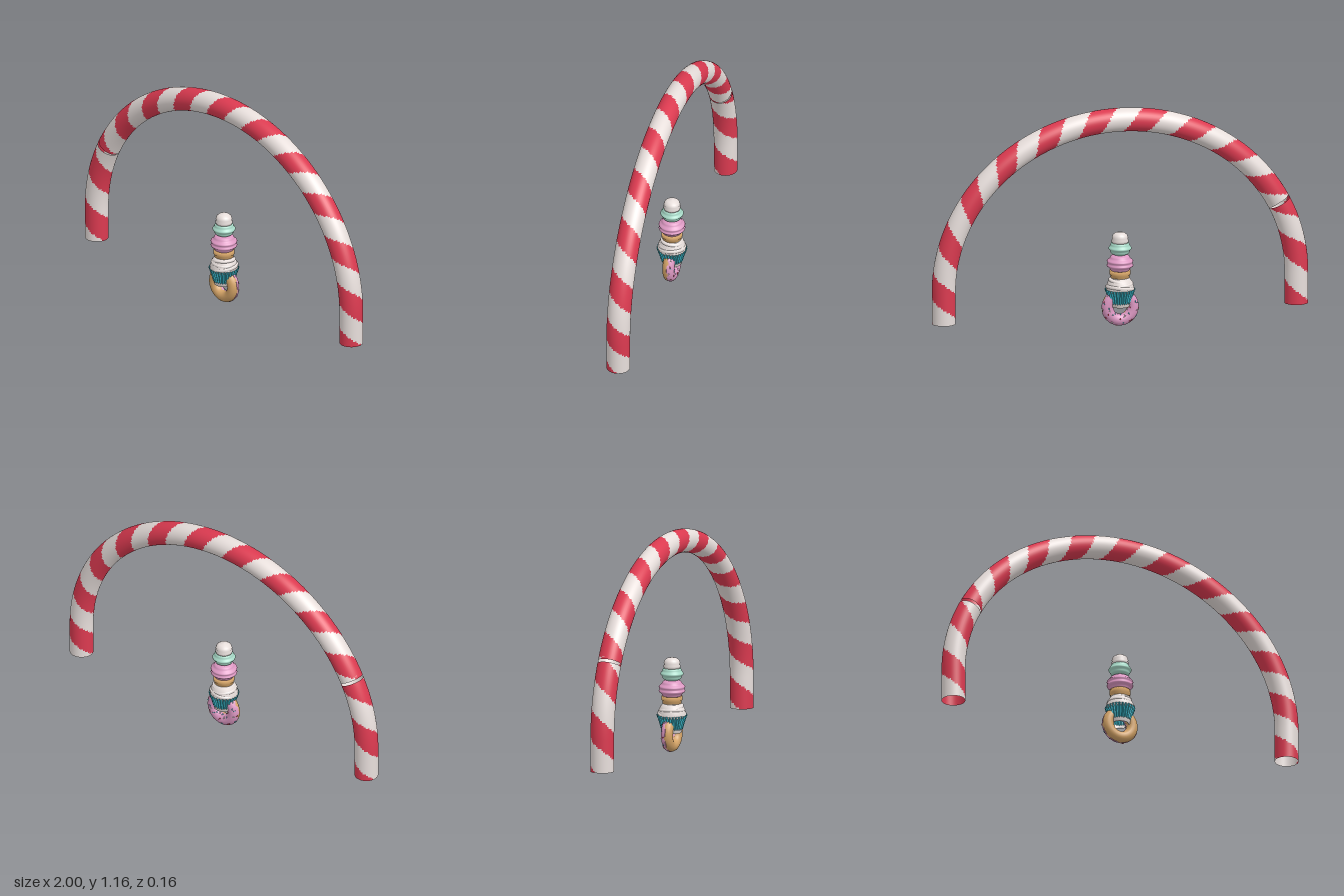
import * as THREE from 'three';

const mat = (name, color, side = THREE.FrontSide) => {
  const m = new THREE.MeshStandardMaterial({ color, side });
  m.name = name;
  return m;
};

// Arch centreline: short straight legs joined by a half ellipse, running from +x to -x
class ArchCurve extends THREE.Curve {
  getPoint(t, target = new THREE.Vector3()) {
    const foot = 0.07, spring = 0.24, a = 0.938, b = 0.86, leg = 0.054;
    if (t < leg) return target.set(a, foot + (spring - foot) * t / leg, 0);
    if (t > 1 - leg) return target.set(-a, foot + (spring - foot) * (1 - t) / leg, 0);
    const ang = Math.PI * (t - leg) / (1 - 2 * leg);
    return target.set(a * Math.cos(ang), spring + b * Math.sin(ang), 0);
  }
}

// Striped tube over part of the arch; notch pulls its outer end edge back
function candyTube(curve, s0, s1, pitch, phase, notch, materials) {
  const R = 0.0615, around = 40, total = curve.getLength();
  const along = Math.round((s1 - s0) / 0.01);
  const pos = [], nor = [], buckets = [[], []];
  for (let i = 0; i <= along; i++) {
    for (let j = 0; j <= around; j++) {
      const phi = (j / around) * Math.PI * 2, c = Math.cos(phi), n = Math.sin(phi);
      let s = s0 + (s1 - s0) * i / along;
      if (i === along) s -= notch * (1 + n) / 2;
      const u = Math.min(1, Math.max(0, s / total));
      const p = curve.getPointAt(u), t = curve.getTangentAt(u);
      const d = [n * t.y, -n * t.x, c];
      pos.push(p.x + R * d[0], p.y + R * d[1], R * d[2]);
      nor.push(...d);
      if (i < along && j < around) {
        const k = (s + 0.005 - phase) / pitch + (j + 0.5) / around + 0.25;
        const q = i * (around + 1) + j, r = q + around + 1;
        buckets[k - Math.floor(k) < 0.5 ? 0 : 1].push(q, q + 1, r + 1, q, r + 1, r);
      }
    }
  }
  const g = new THREE.BufferGeometry();
  g.setAttribute('position', new THREE.Float32BufferAttribute(pos, 3));
  g.setAttribute('normal', new THREE.Float32BufferAttribute(nor, 3));
  g.setIndex(buckets.flat());
  g.addGroup(0, buckets[0].length, 0);
  g.addGroup(buckets[0].length, buckets[1].length, 1);
  return new THREE.Mesh(g, materials);
}

const lathe = (pts, seg = 32) =>
  new THREE.LatheGeometry(pts.map(([r, y]) => new THREE.Vector2(r, y)), seg);

// Ridged ice-cream scoop: a rounded body with ripples running round it
function scoop(radius, y0, y1, ripples, depth) {
  const pts = [];
  for (let i = 0; i <= 28; i++) {
    const t = i / 28;
    const body = Math.pow(Math.sin(Math.PI * t), 0.45);
    const r = radius * body * (1 - depth * (0.5 + 0.5 * Math.cos(t * ripples * 2 * Math.PI)));
    pts.push([Math.max(r, 0), y0 + (y1 - y0) * t]);
  }
  return lathe(pts, 36);
}

export function createModel() {
  const model = new THREE.Group();
  const red = mat('candyRed', 0xdb3a50, THREE.DoubleSide);
  const white = mat('creamWhite', 0xe8dfdc, THREE.DoubleSide);
  const tan = mat('biscuitTan', 0xd2a266);
  const pink = mat('strawberryPink', 0xdc98c2);
  const mint = mat('mintGreen', 0xa6d8c6);
  const teal = mat('wrapperTeal', 0x38b2c4, THREE.DoubleSide);

  const add = (parent, name, geometry, material) => {
    const m = new THREE.Mesh(geometry, material);
    m.name = name;
    parent.add(m);
    return m;
  };

  // Candy cane arch in two pieces with a crack in the left-hand leg
  const curve = new ArchCurve();
  curve.arcLengthDivisions = 1500;
  const total = curve.getLength(), crack = total - 0.56;
  const upper = candyTube(curve, 0, crack, 0.26, 0.27, 0.025, [red, white]);
  upper.name = 'archLongPiece';
  const lower = candyTube(curve, crack + 0.004, total, 0.29, total - 0.135, 0, [red, white]);
  lower.name = 'archBrokenLeg';
  model.add(upper, lower);

  const sweets = new THREE.Group();
  sweets.name = 'sweetsTower';
  model.add(sweets);

  // Doughnut: biscuit ring with glaze and sprinkles on the back
  const donut = new THREE.Group();
  donut.name = 'doughnut';
  donut.position.y = 0.103;
  sweets.add(donut);
  add(donut, 'doughnutRing', new THREE.TorusGeometry(0.067, 0.03, 20, 40), tan);
  const glaze = new THREE.TorusGeometry(0.067, 0.0318, 20, 64);
  const gp = glaze.attributes.position;
  for (let i = 0; i < gp.count; i++) {
    const a = Math.atan2(gp.getY(i), gp.getX(i));
    const limit = 0.002 + 0.003 * Math.sin(a * 9);
    if (gp.getZ(i) > limit) {
      // Tuck the front half inside the biscuit
      const r = Math.hypot(gp.getX(i), gp.getY(i)), k = (0.067 + (r - 0.067) * 0.85) / r;
      gp.setXYZ(i, gp.getX(i) * k, gp.getY(i) * k, limit);
    }
  }
  glaze.computeVertexNormals();
  add(donut, 'doughnutGlaze', glaze, pink);
  const sprinkle = new THREE.CapsuleGeometry(0.0022, 0.007, 3, 6);
  for (let i = 0; i < 44; i++) {
    const a = i * 2.39996, b = -Math.PI / 2 + Math.sin(i * 1.7) * 1.2;
    const r = 0.067 + 0.032 * Math.cos(b);
    const m = add(donut, 'sprinkle', sprinkle, [teal, white, red][i % 3]);
    m.position.set(r * Math.cos(a), r * Math.sin(a), 0.032 * Math.sin(b));
    const normal = new THREE.Vector3(Math.cos(a) * Math.cos(b), Math.sin(a) * Math.cos(b), Math.sin(b));
    m.quaternion.setFromUnitVectors(new THREE.Vector3(0, 0, 1), normal);
    m.rotateZ(i * 1.3);
  }

  // Cupcake: pleated paper case, pale foot, swirled frosting
  const cupcake = new THREE.Group();
  cupcake.name = 'cupcake';
  sweets.add(cupcake);
  let wrap = lathe([[0.055, 0.125], [0.066, 0.165], [0.078, 0.2]], 56);
  const wp = wrap.attributes.position;
  for (let i = 0; i < wp.count; i++) {
    const k = Math.floor(i / 3) % 2 ? 0.93 : 1.03;
    wp.setX(i, wp.getX(i) * k);
    wp.setZ(i, wp.getZ(i) * k);
  }
  wrap = wrap.toNonIndexed();
  wrap.computeVertexNormals();
  add(cupcake, 'paperCase', wrap, teal);
  add(cupcake, 'caseFoot', lathe([[0.045, 0.107], [0.05, 0.107], [0.055, 0.13]], 40), white);
  add(cupcake, 'frostingCore', lathe([[0, 0.185], [0.07, 0.185], [0.074, 0.205], [0.062, 0.24], [0.045, 0.265], [0, 0.27]]), white);
  [[0.058, 0.018, 0.206], [0.053, 0.016, 0.225], [0.047, 0.014, 0.242], [0.038, 0.012, 0.258]].forEach(([r, t, y], i) => {
    const swirl = add(cupcake, 'frostingSwirl', new THREE.TorusGeometry(r, t, 10, 36), white);
    swirl.position.y = y;
    swirl.scale.z = 0.75;
    swirl.rotation.set(Math.PI / 2 + 0.1 * Math.cos(i * 2), 0.13 * (i % 2 ? -0.6 : 1), 0);
  });

  // Ice-cream: cone pushed into the cupcake, three stacked scoops
  const ice = new THREE.Group();
  ice.name = 'iceCream';
  sweets.add(ice);
  add(ice, 'cone', lathe([[0, 0.125], [0.042, 0.255], [0.05, 0.262], [0.05, 0.275], [0.055, 0.278], [0.055, 0.298], [0, 0.3]]), tan);
  add(ice, 'pinkScoop', scoop(0.071, 0.285, 0.388, 4, 0.1), pink);
  add(ice, 'mintScoop', scoop(0.06, 0.375, 0.458, 3, 0.1), mint);
  add(ice, 'whiteScoop', lathe([[0, 0.44], [0.042, 0.445], [0.045, 0.457], [0.04, 0.465], [0.043, 0.472], [0.038, 0.487], [0.025, 0.497], [0, 0.502]]), white);

  return model;
}
